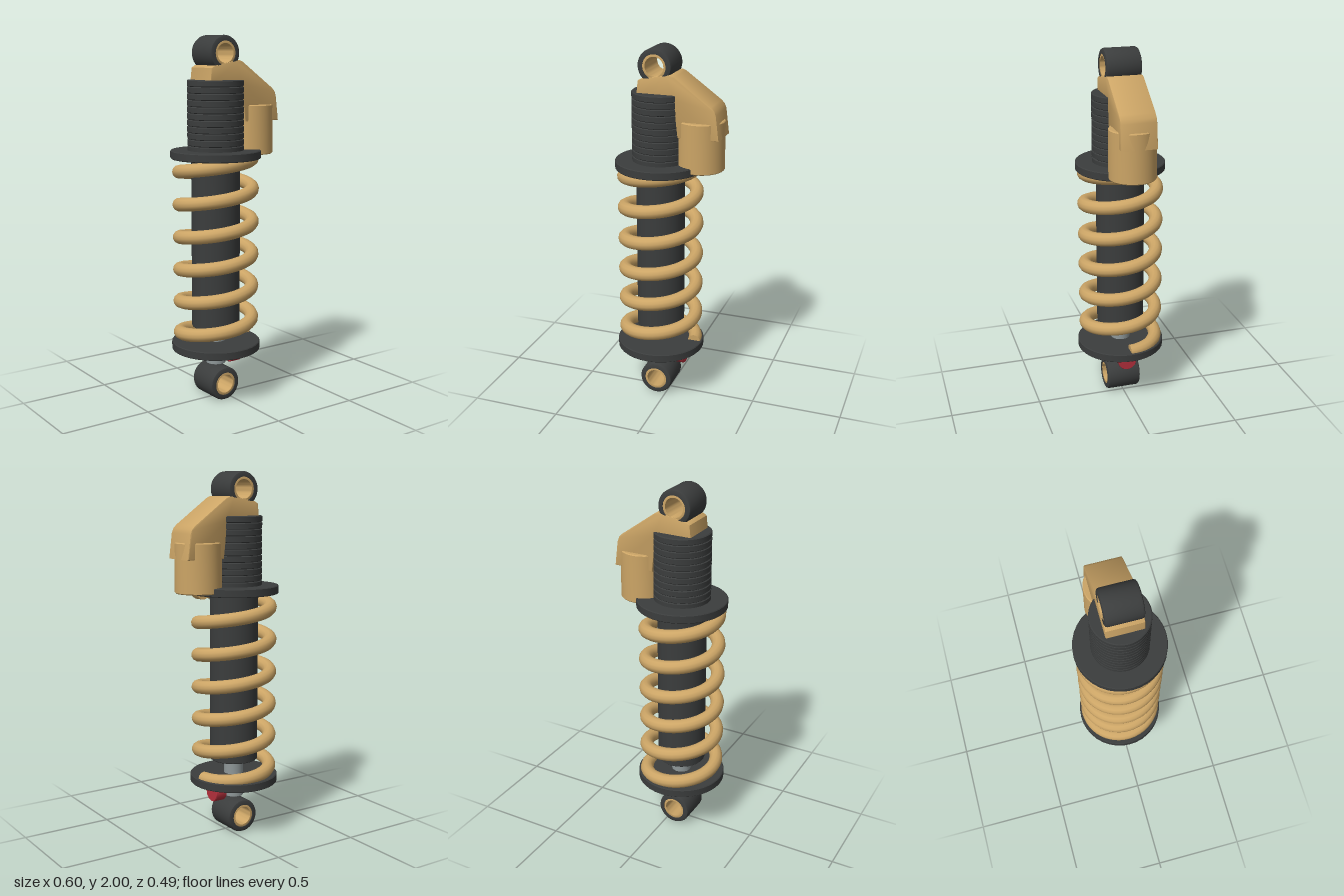
import * as THREE from 'three';
import { toCreasedNormals } from 'three/addons/utils/BufferGeometryUtils.js';

const AXIS = -0.055; // x of the main damper axis

const mat = (color) => new THREE.MeshStandardMaterial({ color });

// Ring or solid turned from [radius, y] points listed bottom to top on the outside
function turned(points, segments = 40) {
  const geo = new THREE.LatheGeometry(points.map(([r, y]) => new THREE.Vector2(r, y)), segments);
  return toCreasedNormals(geo, 0.6);
}

// Solid disc or rod with a small bevel on both rims
function rod(r, y0, y1, bevel, segments) {
  return turned([[0, y0], [r - bevel, y0], [r, y0 + bevel], [r, y1 - bevel], [r - bevel, y1], [0, y1]], segments);
}

// Hollow ring with rounded rims, lying along z
function ring(outer, inner, half, bevel) {
  const b = bevel * 0.3;
  return turned([
    [inner, -half], [outer - bevel, -half], [outer - b, -half + b], [outer, -half + bevel],
    [outer, half - bevel], [outer - b, half - b], [outer - bevel, half], [inner, half], [inner, -half],
  ]).rotateX(Math.PI / 2);
}

// Helix of six turns that flattens out against the two spring seats
class SpringCurve extends THREE.Curve {
  getPoint(t, target = new THREE.Vector3()) {
    const halfTurns = t * 12, a = halfTurns * Math.PI, k = 0.02;
    let y = 0.485 + 0.0897 * (halfTurns - 2);
    y = k * Math.log(Math.exp(y / k) + Math.exp(0.322 / k));
    y = -k * Math.log(Math.exp(-y / k) + Math.exp(-1.37 / k));
    return target.set(0.198 * Math.cos(a), y, -0.198 * Math.sin(a));
  }
}

export function createModel() {
  const group = new THREE.Group();
  const dark = mat(0x3b3d3d), tan = mat(0xcca566), steel = mat(0x8f9899), red = mat(0xb5303c);

  const add = (name, geo, material, x = AXIS, y = 0, z = 0) => {
    const mesh = new THREE.Mesh(geo, material);
    mesh.name = name;
    mesh.position.set(x, y, z);
    group.add(mesh);
    return mesh;
  };

  // Mounting eyes with bushings
  for (const [name, y] of [['lower', 0.098], ['upper', 1.907]]) {
    add(name + 'Eye', ring(0.093, 0.064, 0.096, 0.014), dark, AXIS, y);
    add(name + 'Bushing', ring(0.065, 0.051, 0.093, 0.003), tan, AXIS, y);
  }

  // Shaft and damper body
  add('shaft', rod(0.054, 0.2, 0.45, 0.003, 24), steel);
  add('damperBody', rod(0.132, 0.415, 1.42, 0.004, 40), dark);

  // Threaded upper body with narrow grooves
  const thread = [[0, 1.37], [0.147, 1.37]];
  const ridges = 11, pitch = (1.767 - 1.385) / ridges;
  for (let i = 0; i < ridges; i++) {
    const y = 1.385 + i * pitch;
    thread.push([0.147, y], [0.152, y + pitch * 0.12], [0.152, y + pitch * 0.88], [0.147, y + pitch]);
  }
  thread.push([0, 1.767]);
  add('threadedBody', turned(thread), dark);

  // Spring seats
  add('upperSpringSeat', rod(0.244, 1.349, 1.394, 0.004, 36), dark);
  add('lowerSpringSeat', rod(0.244, 0.287, 0.333, 0.004, 36), dark);

  // Coil spring with closed ends
  const curve = new SpringCurve();
  add('coilSpring', new THREE.TubeGeometry(curve, 288, 0.037, 12), tan);
  for (const t of [0, 1]) {
    const cap = add('springEnd', new THREE.CircleGeometry(0.037, 12), tan);
    const p = curve.getPoint(t), dir = curve.getTangent(t).multiplyScalar(t ? 1 : -1);
    cap.position.add(p);
    cap.quaternion.setFromUnitVectors(new THREE.Vector3(0, 0, 1), dir);
  }

  // Bridge from the upper eye to the reservoir
  const bevel = 0.006;
  const outline = [
    [-0.155, 1.74], [0.05, 1.74], [0.072, 1.545], [0.296, 1.545], [0.279, 1.68], [0.27, 1.703],
    [0.252, 1.722], [0.057, 1.862], [0.037, 1.87], [0.01, 1.868], [-0.125, 1.843], [-0.145, 1.831],
  ].map(([x, y]) => new THREE.Vector2(x, y));
  const bridge = new THREE.ExtrudeGeometry(new THREE.Shape(outline), {
    depth: 0.194 - 2 * bevel, bevelSize: bevel, bevelThickness: bevel, bevelOffset: -bevel, bevelSegments: 2,
  });
  bridge.translate(0, 0, -0.097 + bevel);
  add('reservoirBridge', toCreasedNormals(bridge, 0.6), tan, 0);

  // Reservoir
  add('reservoir', rod(0.126, 1.363, 1.632, 0.005, 36), tan, 0.173);

  // Adjuster knob, lying along x
  const knob = rod(0.053, -0.035, 0.035, 0.003, 12).rotateZ(Math.PI / 2);
  add('adjusterKnob', knob, red, 0.06, 0.238);

  return group;
}
